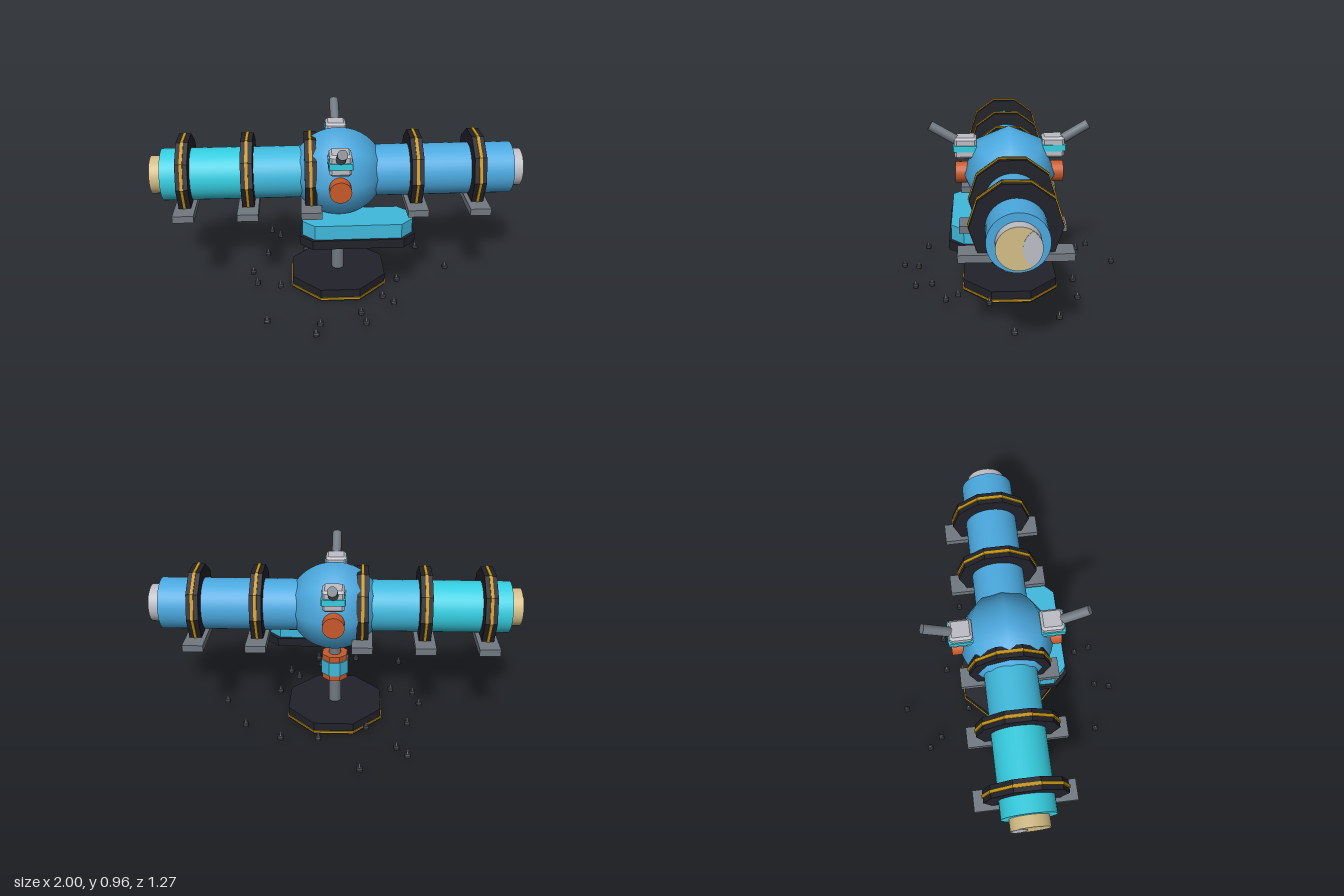
import * as THREE from 'three';

const mat = (name, color) => {
  const m = new THREE.MeshStandardMaterial({ color });
  m.name = name;
  return m;
};

// Faceted normals for the low-poly parts
function flat(geo) {
  const g = geo.index ? geo.toNonIndexed() : geo;
  g.computeVertexNormals();
  return g;
}

// Regular prism along y, with a flat side facing each axis when turned by half a step
const prism = (r, h, n, turn = 0) => flat(new THREE.CylinderGeometry(r, r, h, n).rotateY(turn));

// Box with cut vertical corners, standing from y0 to y1
function chamferedSlab(x0, x1, z0, z1, y0, y1, c, bevel = 0) {
  const b = bevel, s = new THREE.Shape();
  const [l, r, n, f] = [x0 + b, x1 - b, -z1 + b, -z0 - b];
  [[l + c, n], [r - c, n], [r, n + c], [r, f - c], [r - c, f], [l + c, f], [l, f - c], [l, n + c]]
    .forEach(([x, y], i) => (i ? s.lineTo(x, y) : s.moveTo(x, y)));
  const g = new THREE.ExtrudeGeometry(s, {
    depth: y1 - y0 - 2 * b, bevelEnabled: b > 0, bevelSize: b, bevelThickness: b, bevelSegments: 1,
  });
  return flat(g.rotateX(-Math.PI / 2).translate(0, y0 + b, 0));
}

export function createModel() {
  const cyan = mat('cyan', 0x35cde0), mid = mat('skyCyan', 0x40b9dd), blue = mat('blue', 0x4aa8de);
  const black = mat('black', 0x21212a), gold = mat('gold', 0xc8960f), steel = mat('steel', 0x717880);
  const silver = mat('silver', 0xbdbec6), tan = mat('tan', 0xd3bd87), orange = mat('orange', 0xc7592a);
  const iron = mat('iron', 0x3c3f45);

  const model = new THREE.Group();
  model.name = 'model';
  const add = (name, geo, material, parent = model) => {
    const m = new THREE.Mesh(geo, material);
    m.name = name;
    parent.add(m);
    return m;
  };
  const axisY = 0.673, eighth = Math.PI / 8;

  // Prism or smooth cylinder lying along x
  const barrel = (x0, x1, r, n = 40) =>
    new THREE.CylinderGeometry(r, r, x1 - x0, n).rotateZ(-Math.PI / 2).translate((x0 + x1) / 2, axisY, 0);

  // Long horizontal tube in three colour sections
  add('tubeLeftOuter', barrel(-0.94, -0.48, 0.141), cyan);
  add('tubeLeftInner', barrel(-0.48, 0, 0.141), mid);
  add('tubeRight', barrel(0, 0.94, 0.141), blue);

  // End caps with a lens-shaped glint
  add('leftCap', barrel(-1, -0.93, 0.102), tan);
  add('rightCap', barrel(0.93, 0.996, 0.102), silver);
  add('rightCapFace', barrel(0.996, 0.998, 0.102), tan);
  const lens = new THREE.Shape();
  const half = Math.acos(0.0575 / 0.1);
  lens.absarc(0.0, 0, 0.1, -half, half, false);
  lens.absarc(0.115, 0, 0.1, Math.PI - half, Math.PI + half, false);
  for (const side of [1, -1]) {
    const g = new THREE.ExtrudeGeometry(lens, { depth: 0.002, bevelEnabled: false, curveSegments: 16 });
    g.rotateY(Math.PI / 2).translate(side > 0 ? 0.998 : -1.002, axisY, 0);
    add('capGlint', g, silver);
  }

  // Central eight-sided ball
  add('ball', new THREE.SphereGeometry(0.25, 8, 24).rotateZ(Math.PI / 2).translate(0, axisY, 0), blue);

  // Collars with gold bands, each on a cross bar
  for (const x of [-0.815, -0.482, -0.15, 0.41, 0.74]) {
    const collar = new THREE.Group();
    collar.name = 'collar';
    model.add(collar);
    const ring = (w, r) => flat(
      new THREE.CylinderGeometry(r, r, w, 10).rotateZ(Math.PI / 2).translate(x, axisY, 0));
    add('collarRing', ring(0.064, 0.216), black, collar);
    add('collarBand', ring(0.016, 0.222), gold, collar);
    add('crossBar', new THREE.BoxGeometry(0.11, 0.038, 0.535).translate(x, 0.531, 0), steel, collar);
  }

  // Octagonal base
  add('base', prism(0.283, 0.07, 8, eighth).translate(0, 0.035, 0), black);
  add('baseBand', prism(0.29, 0.01, 8, eighth).translate(0, 0.016, 0), gold);

  // Post and its joint
  add('post', new THREE.CylinderGeometry(0.035, 0.035, 0.42, 24).translate(0, 0.27, 0), steel);
  add('joint', prism(0.075, 0.152, 8, eighth).translate(0, 0.304, 0), orange);
  add('jointBand', prism(0.081, 0.084, 8, eighth).translate(0, 0.304, 0), mid);

  // Offset cradle in front of the post
  add('cradleFoot', chamferedSlab(-0.213, 0.395, 0.085, 0.325, 0.365, 0.415, 0.065), black);
  add('cradleBody', chamferedSlab(-0.2, 0.382, 0.1, 0.312, 0.415, 0.495, 0.065), mid);

  // Knobs and antennas, front and back
  for (const side of [1, -1]) {
    const knob = new THREE.CylinderGeometry(0.058, 0.058, 0.07, 24).rotateX(Math.PI / 2);
    add('knob', knob.translate(0, axisY, side * 0.257), orange);

    const antenna = new THREE.Group();
    antenna.name = 'antenna';
    antenna.rotation.y = side > 0 ? 0 : Math.PI;
    model.add(antenna);
    add('antennaBlock', chamferedSlab(-0.057, 0.057, 0.175, 0.294, 0.762, 0.878, 0.004, 0.013), silver, antenna);
    add('antennaBand', chamferedSlab(-0.063, 0.063, 0.17, 0.302, 0.803, 0.837, 0.004), cyan, antenna);
    const a = new THREE.Vector3(0, 0.81, 0.21), b = new THREE.Vector3(0, 0.937, 0.423);
    const rod = add('antennaRod', new THREE.CylinderGeometry(0.026, 0.026, a.distanceTo(b), 20), steel, antenna);
    rod.position.copy(a).lerp(b, 0.5);
    rod.quaternion.setFromUnitVectors(new THREE.Vector3(0, 1, 0), b.clone().sub(a).normalize());
  }

  // Loose bolts scattered around the base
  const bolts = [
    [-0.144, -0.62], [-0.395, -0.5], [-0.34, -0.43], [0.08, -0.36], [0.285, -0.36], [0.49, -0.24],
    [-0.41, -0.205], [-0.33, 0.155], [0.285, 0.355], [0.1, 0.44], [-0.395, 0.49], [-0.12, 0.53],
    [0.12, 0.53], [-0.144, 0.615], [-0.49, 0], [-0.46, 0.12], [0.63, 0], [0.23, 0.29], [0.33, 0.12],
    [-0.18, -0.25],
  ];
  const head = chamferedSlab(-0.016, 0.016, -0.016, 0.016, 0.03, 0.052, 0.002, 0.004);
  const stem = new THREE.CylinderGeometry(0.006, 0.006, 0.024, 10).translate(0, 0.06, 0);
  for (const [x, z] of bolts) {
    const bolt = new THREE.Group();
    bolt.name = 'bolt';
    bolt.position.set(x, 0, z);
    add('boltHead', head, iron, bolt);
    add('boltStem', stem, steel, bolt);
    model.add(bolt);
  }
  return model;
}
